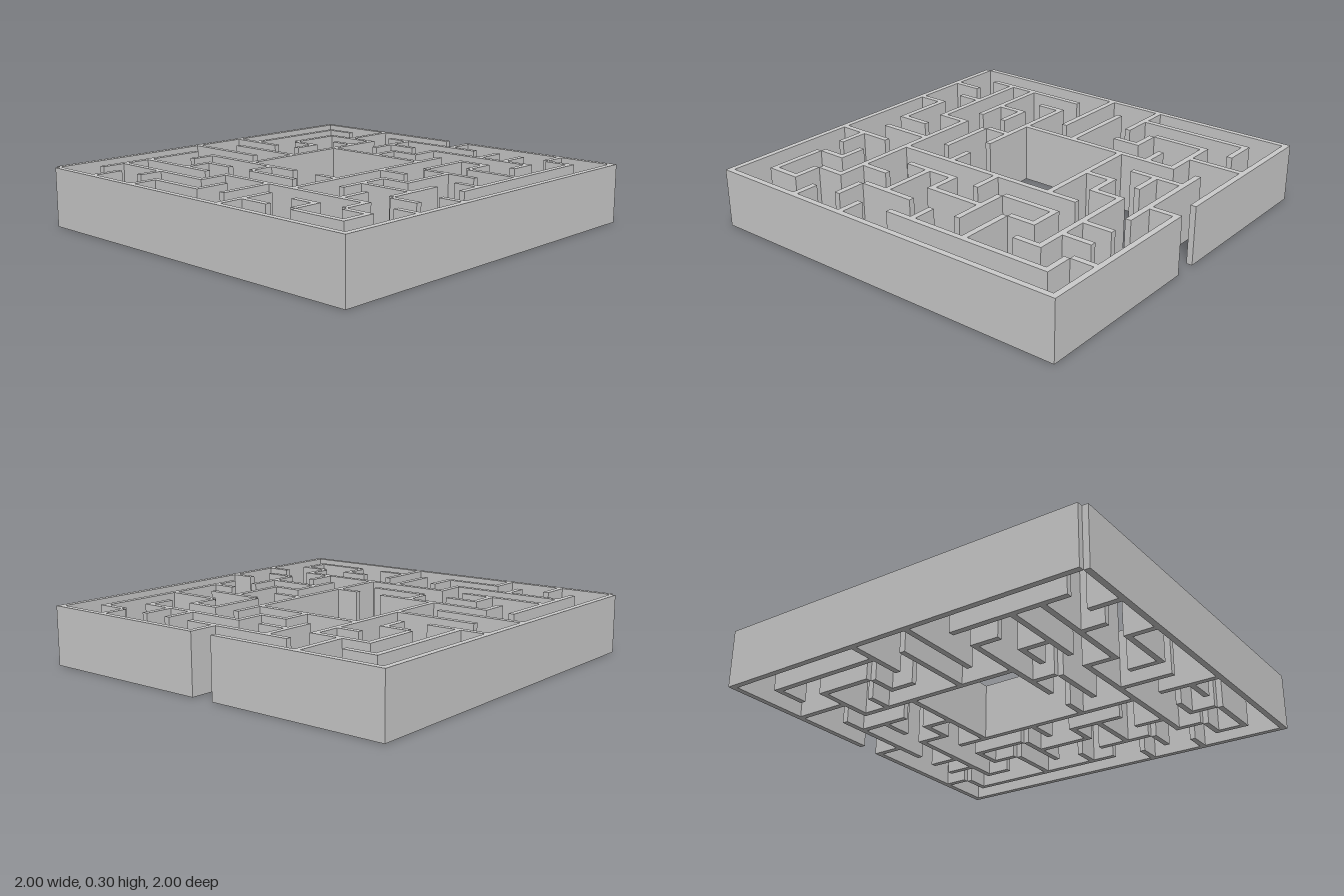
import * as THREE from 'three';

const CELLS = 13;
const PITCH = 2 / (CELLS + 0.2); // spacing of the wall lines
const T = PITCH * 0.2;           // wall thickness
const H = 0.3;                   // wall height
const line = (i) => -1 + T / 2 + i * PITCH;

// Walls running along x: one list per grid row from back to front, [from, to] columns
const rows = [
  [[0, 6], [7, 13]],
  [[1, 2], [4, 8], [11, 12]],
  [[2, 4], [5, 6], [7, 11]],
  [[3, 4], [6, 7], [9, 10]],
  [[2, 3], [4, 8], [10, 12]],
  [[0, 2], [9, 11]],
  [[1, 4], [8, 9], [11, 12]],
  [[0, 3], [9, 10]],
  [[2, 6], [7, 8], [9, 11], [12, 13]],
  [[3, 4], [5, 7], [11, 12]],
  [[1, 4], [5, 11], [12, 13]],
  [[1, 5], [9, 10], [11, 12]],
  [[4, 6], [8, 9], [10, 12]],
  [[0, 13]],
];

// Walls running along z: one list per grid column from -x to +x, [from, to] rows
const columns = [
  [[0, 13]],
  [[1, 5], [8, 12]],
  [[2, 4], [8, 9], [12, 13]],
  [[0, 2], [4, 5], [9, 10], [11, 12]],
  [[2, 8], [12, 13]],
  [[1, 3], [8, 9], [10, 11]],
  [[3, 4], [11, 12]],
  [[0, 1], [2, 3], [10, 12]],
  [[3, 10], [11, 13]],
  [[1, 2], [3, 5], [7, 9]],
  [[1, 2], [3, 4], [5, 7], [9, 10], [11, 12]],
  [[0, 1], [2, 3], [7, 9], [10, 11]],
  [[1, 7], [11, 12]],
  [[0, 13]],
];

export function createModel() {
  const model = new THREE.Group();
  model.name = 'maze';
  const material = new THREE.MeshStandardMaterial({ color: 0xcccccc, flatShading: true });
  const outer = new THREE.Group();
  outer.name = 'outerWalls';
  const inner = new THREE.Group();
  inner.name = 'innerWalls';
  model.add(outer, inner);

  function addWall(index, [from, to], alongX) {
    const length = (to - from) * PITCH;
    // x walls are shifted half a thickness to +x, z walls half a thickness to -z
    const middle = line((from + to) / 2) + (alongX ? T / 2 : -T / 2);
    const wall = new THREE.Mesh(
      new THREE.BoxGeometry(alongX ? length : T, H, alongX ? T : length), material);
    wall.position.set(alongX ? middle : line(index), H / 2, alongX ? line(index) : middle);
    const isOuter = index === 0 || index === CELLS;
    wall.name = (isOuter ? 'outerWall' : 'innerWall') + (alongX ? 'Across' : 'Along');
    (isOuter ? outer : inner).add(wall);
  }

  rows.forEach((spans, i) => spans.forEach((span) => addWall(i, span, true)));
  columns.forEach((spans, i) => spans.forEach((span) => addWall(i, span, false)));
  return model;
}
